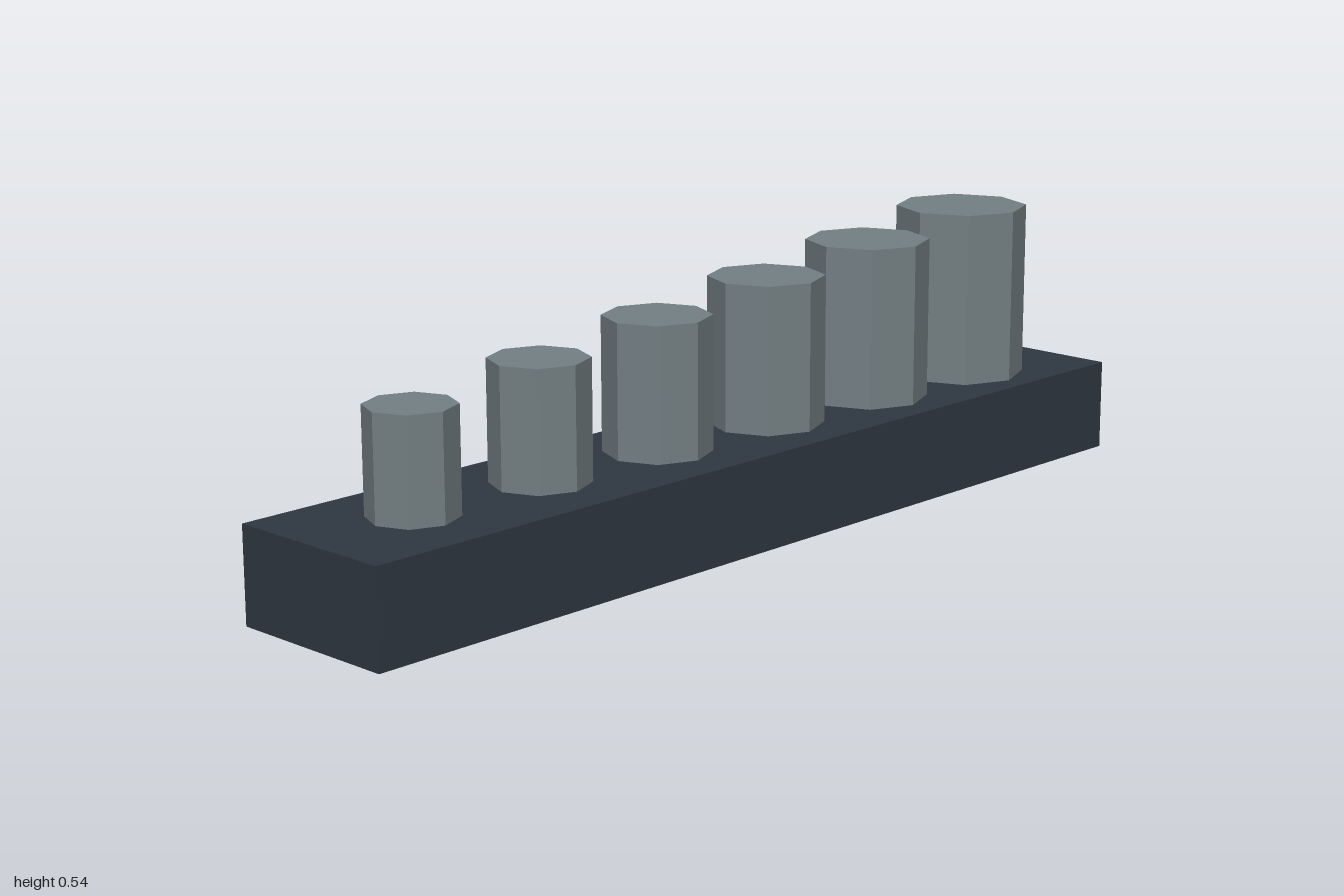
import * as THREE from 'three';

export function createModel() {
  const group = new THREE.Group();
  const darkSlate = new THREE.MeshStandardMaterial({ color: 0x2f3742, flatShading: true });
  darkSlate.name = 'dark slate';
  const steelGrey = new THREE.MeshStandardMaterial({ color: 0x748084, flatShading: true });
  steelGrey.name = 'steel grey';

  // Long plinth
  const baseHeight = 0.185;
  const base = new THREE.Mesh(new THREE.BoxGeometry(2, baseHeight, 0.355), darkSlate);
  base.name = 'base';
  base.position.y = baseHeight / 2;
  group.add(base);

  // Row of octagonal posts, growing wider and taller towards +x
  for (let i = 0; i < 6; i++) {
    const radius = 0.0845 + i * 0.0101;
    const height = 0.2 + i * 0.0306;
    const post = new THREE.Mesh(new THREE.CylinderGeometry(radius, radius, height, 8), steelGrey);
    post.name = `post${i + 1}`;
    post.position.set(-0.769 + i * 0.3, baseHeight + height / 2, 0);
    group.add(post);
  }
  return group;
}
